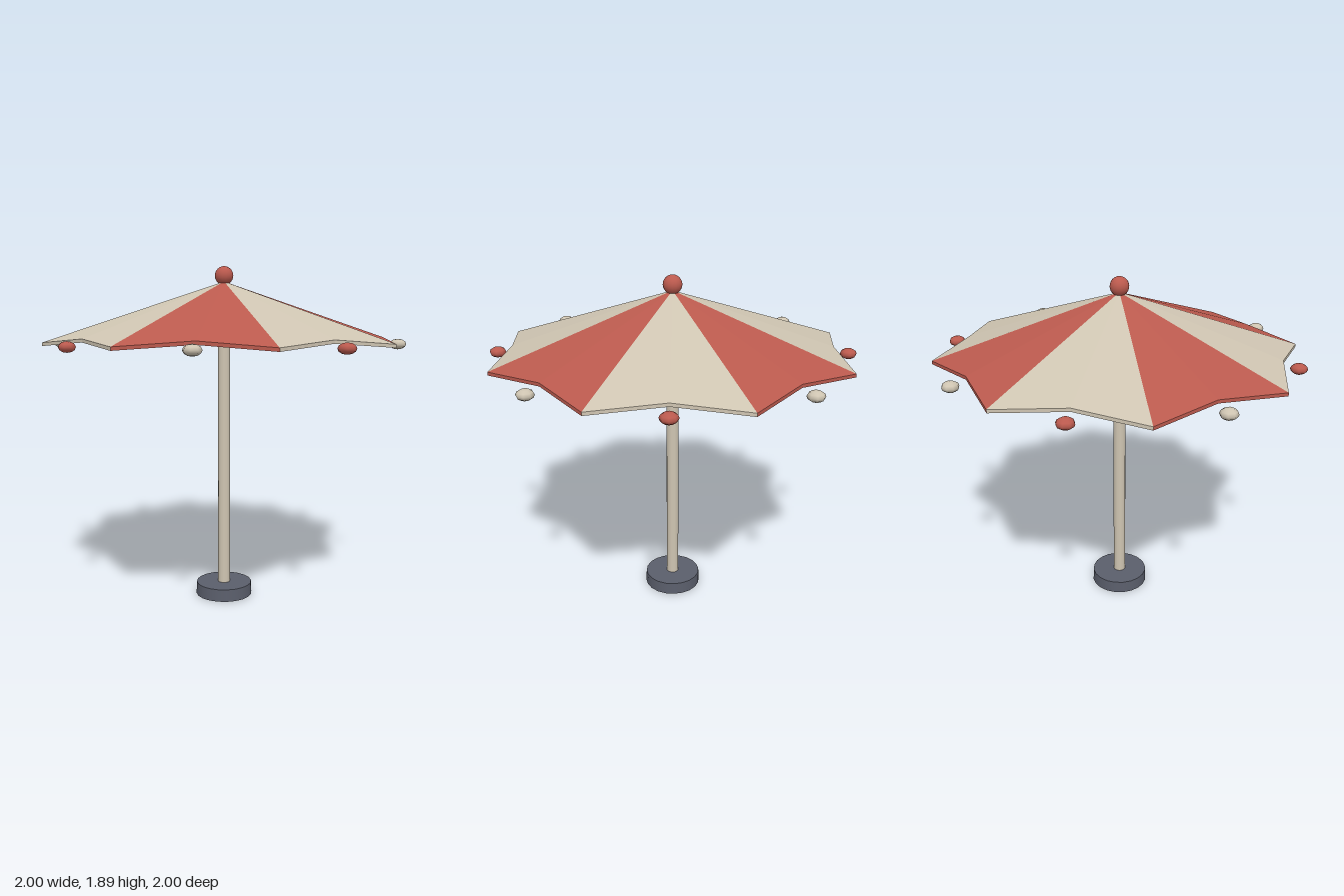
import * as THREE from 'three';

const material = (name, color) => {
  const m = new THREE.MeshStandardMaterial({ color });
  m.name = name;
  return m;
};

// One wedge of the canopy: two facets above, two below, and a scalloped rim
function panelGeometry(start) {
  const thickness = 0.018;
  const at = (angle, radius, y) =>
    new THREE.Vector3(Math.sin(angle) * radius, y, Math.cos(angle) * radius);
  const apex = at(0, 0, 1.808);
  const rim = [
    at(start, 1, 1.477),
    at(start + Math.PI / 8, 0.876, 1.504),
    at(start + Math.PI / 4, 1, 1.477),
  ];
  const lower = (p) => new THREE.Vector3(p.x, p.y - thickness, p.z);
  const points = [];
  for (let i = 0; i < 2; i++) {
    const a = rim[i], b = rim[i + 1];
    const la = lower(a), lb = lower(b);
    points.push(apex, a, b);
    points.push(lower(apex), lb, la);
    points.push(a, la, lb, a, lb, b);
  }
  const geometry = new THREE.BufferGeometry().setFromPoints(points);
  geometry.computeVertexNormals();
  return geometry;
}

export function createModel() {
  const red = material('red fabric', 0xbb5a4e);
  const cream = material('cream', 0xcfc5b2);
  const slate = material('slate base', 0x5a5e6b);

  const model = new THREE.Group();
  model.name = 'parasol';
  const add = (parent, name, geometry, mat, x, y, z) => {
    const mesh = new THREE.Mesh(geometry, mat);
    mesh.name = name;
    mesh.position.set(x, y, z);
    parent.add(mesh);
    return mesh;
  };

  // Stand
  add(model, 'base', new THREE.CylinderGeometry(0.16, 0.163, 0.07, 20), slate, 0, 0.035, 0);
  add(model, 'pole', new THREE.CylinderGeometry(0.035, 0.035, 1.69, 12), cream, 0, 0.905, 0);

  // Canopy panels alternate in colour, each bobble contrasts with its panel
  const canopy = new THREE.Group();
  canopy.name = 'canopy';
  const bobbles = new THREE.Group();
  bobbles.name = 'bobbles';
  model.add(canopy, bobbles);
  const bobble = new THREE.SphereGeometry(0.046, 8, 6);
  bobble.scale(1, 0.62, 1);
  for (let i = 0; i < 8; i++) {
    const start = (i * Math.PI) / 4;
    const middle = start + Math.PI / 8;
    add(canopy, 'canopyPanel', panelGeometry(start), i % 2 ? cream : red, 0, 0, 0);
    const ball = add(bobbles, 'bobble', bobble, i % 2 ? red : cream,
      Math.sin(middle) * 0.958, 1.466, Math.cos(middle) * 0.958);
    ball.rotation.y = middle;
  }

  // Ball on top
  add(model, 'finial', new THREE.SphereGeometry(0.052, 16, 12), red, 0, 1.84, 0);

  return model;
}
